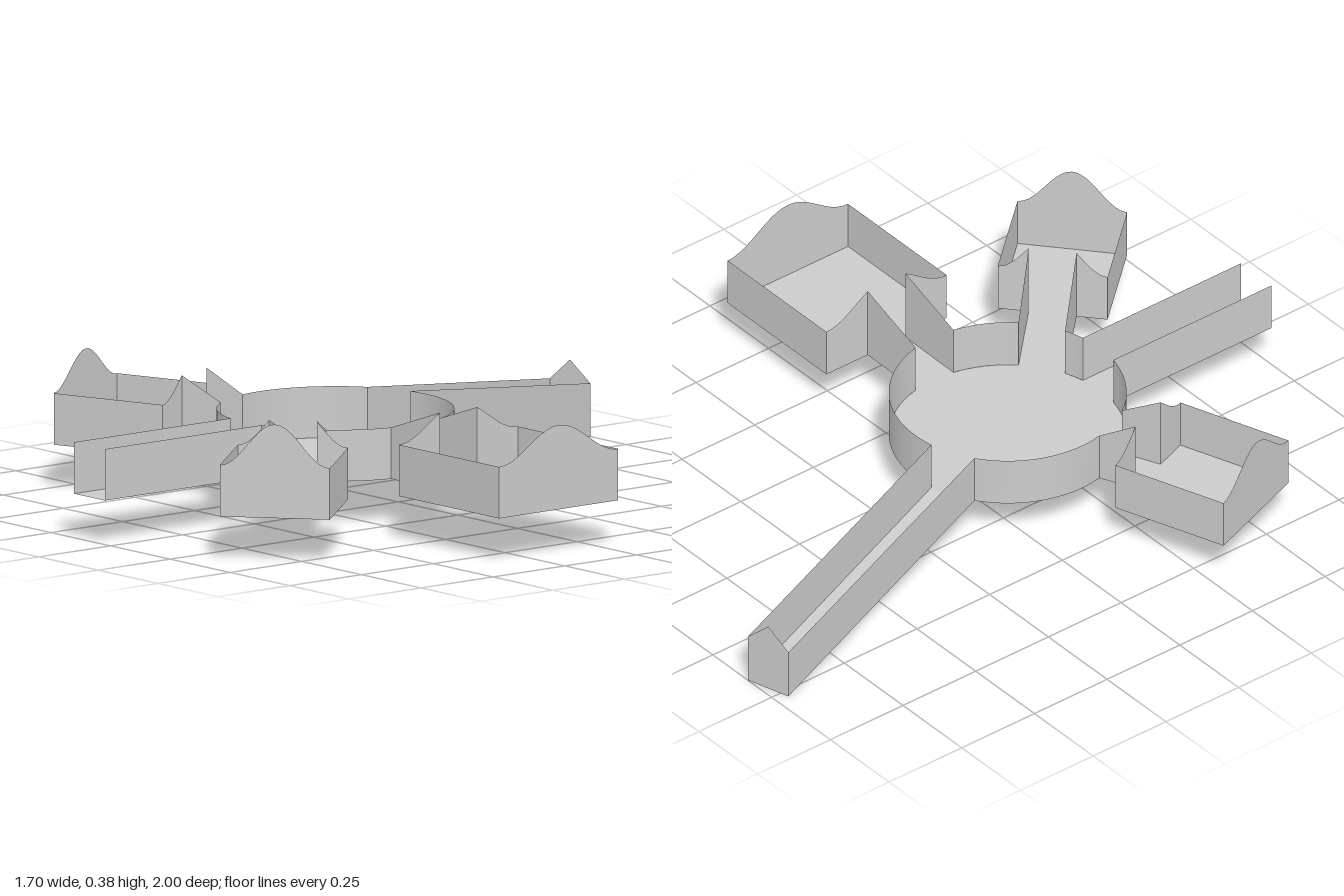
import * as THREE from 'three';

const BASE = 0.12, TOP = 0.26, R = 0.318, HALF = 0.065;
const CX = -0.088, CZ = 0.145;
const rad = THREE.MathUtils.degToRad;
const material = new THREE.MeshStandardMaterial({ color: 0xcccccc, side: THREE.DoubleSide });

// Surface between two rows of points
function ribbon(name, low, high) {
  const pos = [], index = [];
  low.forEach((p, i) => {
    pos.push(...p, ...high[i]);
    if (i) {
      const a = 2 * i - 2;
      index.push(a, a + 1, a + 2, a + 1, a + 3, a + 2);
    }
  });
  const g = new THREE.BufferGeometry();
  g.setAttribute('position', new THREE.Float32BufferAttribute(pos, 3));
  g.setIndex(index);
  g.computeVertexNormals();
  const mesh = new THREE.Mesh(g, material);
  mesh.name = name;
  return mesh;
}

// Upright wall along points [x, z, top, bottom]
function wall(name, pts) {
  return ribbon(name,
    pts.map(([x, z, , y = BASE]) => [x, y, z]),
    pts.map(([x, z, y]) => [x, y, z]));
}

function hubPoint(deg) {
  return [CX + R * Math.cos(rad(deg)), CZ + R * Math.sin(rad(deg))];
}

const gap = THREE.MathUtils.radToDeg(Math.asin(HALF / R));

// Corridor from the hub to the two end corners, with optional slope
function corridor(name, deg, end, axisDeg, endTop, endBase = BASE) {
  const group = new THREE.Group();
  group.name = name;
  const nx = -Math.sin(rad(axisDeg)), nz = Math.cos(rad(axisDeg));
  const sides = [-1, 1].map((s) => ({
    a: hubPoint(deg + s * gap),
    b: [end[0] + s * HALF * nx, end[1] + s * HALF * nz],
  }));
  for (const { a, b } of sides) {
    group.add(wall('corridorWall', [[...a, TOP, BASE], [...b, endTop, endBase]]));
  }
  const [l, r] = sides;
  group.add(ribbon('corridorFloor',
    [[l.a[0], BASE, l.a[1]], [l.b[0], endBase, l.b[1]]],
    [[r.a[0], BASE, r.a[1]], [r.b[0], endBase, r.b[1]]]));
  return group;
}

// Bell-shaped gable height across a wall, t from -1 to 1
const bell = (t, rise) => TOP + rise * 0.5 * (1 + Math.cos(Math.PI * t));

// Rectangular room with gabled end walls and a doorway
function room(name, door, axisDeg, length, half, rise) {
  const group = new THREE.Group();
  group.name = name;
  const c = Math.cos(rad(axisDeg)), s = Math.sin(rad(axisDeg));
  const at = (u, t) => [door[0] + u * c - t * half * s, door[1] + u * s + t * half * c];
  const gable = (label, u, t0, t1, n) => {
    const pts = [];
    for (let i = 0; i <= n; i++) {
      const t = t0 + ((t1 - t0) * i) / n;
      pts.push([...at(u, t), bell(t, rise)]);
    }
    group.add(wall(label, pts));
  };
  gable('endWall', length, -1, 1, 20);
  gable('doorWall', 0, -1, -HALF / half, 8);
  gable('doorWall', 0, HALF / half, 1, 8);
  for (const t of [-1, 1]) {
    group.add(wall('sideWall', [[...at(0, t), TOP], [...at(length, t), TOP]]));
  }
  const lift = ([x, z]) => [x, BASE, z];
  group.add(ribbon('roomFloor', [at(0, -1), at(length, -1)].map(lift), [at(0, 1), at(length, 1)].map(lift)));
  return group;
}

export function createModel() {
  const model = new THREE.Group();
  model.name = 'floorPlan';

  // Rooms and the corridors leading to them
  const rooms = [
    { name: 'eastRoom', hub: 0, door: [0.43, 0.147], axis: 0, length: 0.42, half: 0.207, rise: 0.09 },
    { name: 'cornerRoom', hub: 56, door: [0.265, 0.585], axis: 49, length: 0.302, half: 0.149, rise: 0.115 },
    { name: 'westRoom', hub: 156.5, door: [-0.475, 0.315], axis: 160, length: 0.337, half: 0.168, rise: 0.095 },
  ];
  for (const r of rooms) {
    model.add(room(r.name, r.door, r.axis, r.length, r.half, r.rise));
    model.add(corridor(r.name + 'Corridor', r.hub, r.door, r.axis, bell(HALF / r.half, r.rise)));
  }

  // Open-ended front corridor
  model.add(corridor('frontCorridor', 90, [CX, 1], 90, TOP));

  // Long ramp sloping down to the back, closed by a small gable
  const rampAxis = 253.2, rampEnd = [-0.4625, -0.981];
  const ramp = corridor('backRamp', 247, rampEnd, rampAxis, 0.145, 0);
  const tip = [-1, -0.5, 0, 0.5, 1].map((t) => [
    rampEnd[0] - t * HALF * Math.sin(rad(rampAxis)),
    rampEnd[1] + t * HALF * Math.cos(rad(rampAxis)),
    0.145 + 0.058 * (1 - Math.abs(t)), 0,
  ]);
  ramp.add(wall('rampEndWall', tip));
  model.add(ramp);

  // Round hub: floor disc and wall arcs between the openings
  const floor = new THREE.Mesh(new THREE.CircleGeometry(R, 64).rotateX(-Math.PI / 2), material);
  floor.name = 'hubFloor';
  floor.position.set(CX, BASE, CZ);
  model.add(floor);
  const openings = [0, 56, 90, 156.5, 247, 360];
  for (let i = 0; i < openings.length - 1; i++) {
    const a = openings[i] + gap, b = openings[i + 1] - gap;
    const n = Math.max(2, Math.ceil((b - a) / 5));
    const pts = [];
    for (let k = 0; k <= n; k++) pts.push([...hubPoint(a + ((b - a) * k) / n), TOP]);
    model.add(wall('hubWall', pts));
  }
  return model;
}
